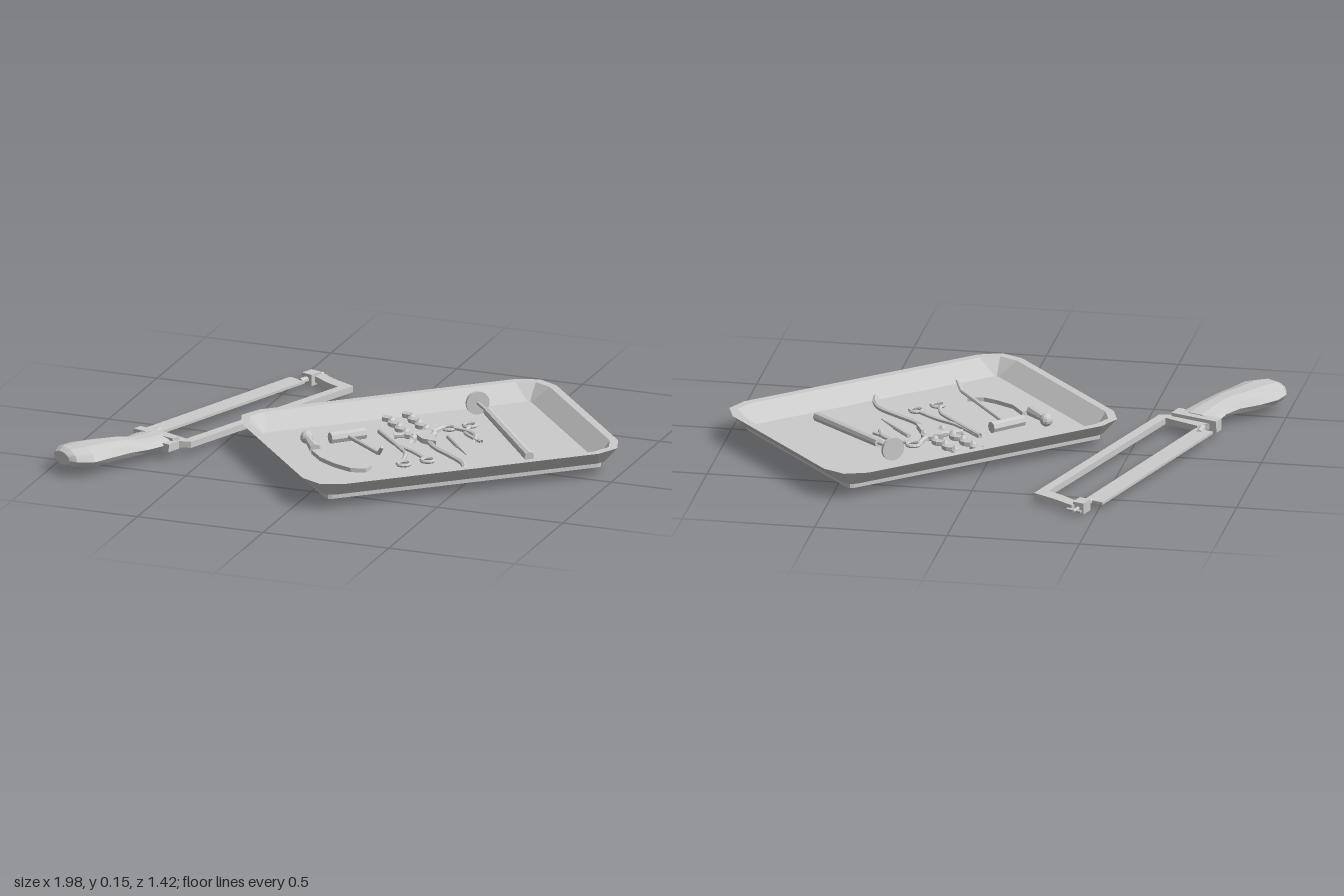
import * as THREE from 'three';

const mat = new THREE.MeshStandardMaterial({ color: 0xcccccc, flatShading: true, side: THREE.DoubleSide });
const V = (x, y, z) => new THREE.Vector3(x, y, z);

function add(parent, name, geo) {
  const m = new THREE.Mesh(geo, mat);
  m.name = name;
  parent.add(m);
  return m;
}

// Skin a list of equal-length rings and cap both ends
function loft(rings) {
  const n = rings[0].length, pos = [], idx = [];
  rings.forEach(r => r.forEach(p => pos.push(p.x, p.y, p.z)));
  for (let i = 0; i < rings.length - 1; i++)
    for (let j = 0; j < n; j++) {
      const a = i * n + j, b = i * n + (j + 1) % n;
      idx.push(a, a + n, b, b, a + n, b + n);
    }
  [rings[0], rings[rings.length - 1]].forEach((r, k) => {
    const c = r.reduce((s, p) => s.add(p), V(0, 0, 0)).divideScalar(n);
    const ci = pos.length / 3, o = k ? (rings.length - 1) * n : 0;
    pos.push(c.x, c.y, c.z);
    for (let j = 0; j < n; j++) {
      const p = o + j, q = o + (j + 1) % n;
      if (k) idx.push(ci, q, p); else idx.push(ci, p, q);
    }
  });
  const g = new THREE.BufferGeometry();
  g.setAttribute('position', new THREE.Float32BufferAttribute(pos, 3));
  g.setIndex(idx);
  g.computeVertexNormals();
  return g;
}

// Flat plate from a plan outline of [x, z] points
function plate(points, y, h) {
  const s = new THREE.Shape(points.map(([x, z]) => new THREE.Vector2(x, -z)));
  return new THREE.ExtrudeGeometry(s, { depth: h, bevelEnabled: false }).rotateX(-Math.PI / 2).translate(0, y, 0);
}

// Straight tapered rod between two [x, y, z] points
function rod(a, b, r1, r2 = r1, sides = 8) {
  const p = V(...a), q = V(...b), d = q.clone().sub(p);
  const g = new THREE.CylinderGeometry(r2, r1, d.length(), sides);
  g.applyQuaternion(new THREE.Quaternion().setFromUnitVectors(V(0, 1, 0), d.normalize()));
  const c = p.add(q).multiplyScalar(0.5);
  return g.translate(c.x, c.y, c.z);
}

// Bent bar through [x, z] points at one height
function bar(points, y, r, seg = 20) {
  const curve = new THREE.CatmullRomCurve3(points.map(([x, z]) => V(x, y, z)));
  return new THREE.TubeGeometry(curve, seg, r, 6);
}

// Rectangle ring with two-segment rounded corners
function rectRing(hx, hz, r, y) {
  const out = [];
  for (let q = 0; q < 4; q++) {
    const sx = q === 0 || q === 3 ? 1 : -1, sz = q < 2 ? 1 : -1;
    for (let k = 0; k < 3; k++) {
      const a = (q + k / 2) * Math.PI / 2;
      out.push(V(sx * (hx - r) + r * Math.cos(a), y, sz * (hz - r) + r * Math.sin(a)));
    }
  }
  return out;
}

function makeTray() {
  const g = new THREE.Group();
  g.name = 'tray';
  add(g, 'trayShell', loft([
    rectRing(0.545, 0.385, 0.02, 0.032),
    rectRing(0.545, 0.385, 0.02, 0.052),
    rectRing(0.56, 0.398, 0.04, 0.052),
    rectRing(0.624, 0.454, 0.12, 0.11),
    rectRing(0.594, 0.424, 0.1, 0.11),
    rectRing(0.53, 0.36, 0.01, 0.05),
  ]));
  g.rotation.y = 0.718;
  g.position.x = 0.277;
  return g;
}

function makeSaw() {
  const g = new THREE.Group();
  g.name = 'boneSaw';
  const frame = new THREE.Group();
  frame.name = 'sawFrame';
  frame.position.y = 0.04;
  frame.rotation.x = -0.025;
  g.add(frame);
  add(frame, 'frameBow', plate([[-0.56, 0.29], [-0.25, -0.58], [-0.33, -0.625], [-0.41, -0.68], [-0.44, -0.65],
    [-0.36, -0.585], [-0.30, -0.55], [-0.59, 0.26], [-0.72, 0.2], [-0.745, 0.225], [-0.78, 0.235],
    [-0.795, 0.29], [-0.63, 0.33], [-0.61, 0.3]], -0.012, 0.024));
  add(frame, 'blade', plate([[-0.785, 0.17], [-0.715, 0.195], [-0.445, -0.59], [-0.515, -0.615]], -0.005, 0.01));
  add(frame, 'frontPin', rod([-0.465, 0, -0.59], [-0.44, 0, -0.66], 0.012));
  add(frame, 'rearPin', rod([-0.735, 0, 0.16], [-0.735, 0, 0.23], 0.012));
  const clamp = add(frame, 'clampBlock', new THREE.BoxGeometry(0.045, 0.044, 0.055));
  clamp.position.set(-0.443, 0, -0.65);
  clamp.rotation.y = -0.32;
  add(frame, 'clampScrew', rod([-0.44, 0, -0.66], [-0.422, 0, -0.715], 0.007));
  add(frame, 'screwWing', rod([-0.452, 0, -0.71], [-0.395, 0, -0.69], 0.006));
  const collar = add(frame, 'collar', new THREE.BoxGeometry(0.19, 0.045, 0.04));
  collar.position.set(-0.705, 0.003, 0.27);
  collar.rotation.y = -0.33;
  const tang = add(frame, 'tang', new THREE.BoxGeometry(0.03, 0.03, 0.06));
  tang.position.set(-0.625, 0, 0.33);
  tang.rotation.y = -0.33;

  // Grip: x, z, half width, centre height, half height
  const path = [[-0.70, 0.28, 0.085, 0.052, 0.024], [-0.74, 0.385, 0.072, 0.055, 0.03], [-0.785, 0.45, 0.075, 0.06, 0.038],
    [-0.84, 0.515, 0.09, 0.06, 0.042], [-0.885, 0.58, 0.102, 0.062, 0.042], [-0.925, 0.625, 0.08, 0.064, 0.037],
    [-0.938, 0.645, 0.05, 0.064, 0.025]];
  add(g, 'grip', loft(path.map(([x, z, w, y, h], i) => {
    const p = path[Math.max(i - 1, 0)], q = path[Math.min(i + 1, path.length - 1)];
    const d = new THREE.Vector2(q[0] - p[0], q[1] - p[1]).normalize();
    return Array.from({ length: 10 }, (_, k) => {
      const a = k / 10 * Math.PI * 2, c = Math.cos(a) * w;
      return V(x - d.y * c, y + Math.sin(a) * h, z + d.x * c);
    });
  })));
  return g;
}

// Two crossing arms, each ending in a finger ring
function makeScissors(name, arms) {
  const g = new THREE.Group();
  g.name = name;
  arms.forEach(([ring, ...pts], i) => {
    add(g, 'fingerRing', new THREE.TorusGeometry(0.024, 0.007, 6, 14).rotateX(Math.PI / 2).translate(ring[0], 0.06, ring[1]));
    add(g, 'arm', bar(pts, 0.058 + i * 0.006, 0.008, 12));
  });
  return g;
}

function makeInstruments() {
  const g = new THREE.Group();
  g.name = 'instruments';

  // Disc-headed hammer
  add(g, 'hammerDisc', rod([0.316, 0.105, -0.39], [0.324, 0.105, -0.38], 0.045, 0.045, 20));
  add(g, 'hammerNeck', rod([0.32, 0.105, -0.385], [0.39, 0.1, -0.315], 0.007));
  add(g, 'hammerHandle', rod([0.385, 0.1, -0.32], [0.68, 0.066, 0.015], 0.017, 0.019));

  // T-shaped mallet with an upturned shaft
  add(g, 'malletHead', rod([-0.08, 0.072, 0.1], [0.02, 0.072, 0.0], 0.022));
  add(g, 'malletShaft', rod([-0.025, 0.072, 0.055], [0.185, 0.105, 0.285], 0.008));
  add(g, 'malletTip', rod([0.185, 0.105, 0.285], [0.207, 0.138, 0.307], 0.008, 0.006));

  // Curved knife
  add(g, 'knifePommel', new THREE.SphereGeometry(0.025, 10, 8).translate(-0.165, 0.072, 0.12));
  add(g, 'knifeHandle', rod([-0.155, 0.07, 0.135], [-0.09, 0.065, 0.225], 0.014, 0.022));
  add(g, 'knifeBlade', plate([[-0.1, 0.24], [-0.04, 0.305], [0.03, 0.35], [0.11, 0.38], [0.165, 0.365], [0.17, 0.32],
    [0.11, 0.33], [0.06, 0.31], [-0.01, 0.27], [-0.06, 0.2]], 0.052, 0.016));

  g.add(makeScissors('largeScissors', [
    [[0.335, 0.17], [0.315, 0.15], [0.24, 0.09], [0.17, 0.05], [0.05, -0.07]],
    [[0.267, 0.24], [0.255, 0.215], [0.235, 0.14], [0.19, 0.085], [0.05, -0.07]],
  ]));
  g.add(makeScissors('smallScissors', [
    [[0.337, -0.26], [0.345, -0.235], [0.35, -0.18], [0.39, -0.14], [0.445, -0.1]],
    [[0.278, -0.2], [0.3, -0.195], [0.36, -0.18], [0.4, -0.15], [0.425, -0.085]],
  ]));
  add(g, 'scalpelHandle', rod([0.31, 0.058, -0.11], [0.38, 0.058, -0.025], 0.009));
  add(g, 'scalpelBlade', rod([0.38, 0.058, -0.025], [0.445, 0.058, 0.055], 0.007, 0.002));

  // Bone forceps: wavy grips, hooked jaws and a long curved tail
  for (const [x, z] of [[0.02, -0.22], [0.075, -0.285]]) {
    const wave = [];
    for (let i = 0; i <= 8; i++) {
      const t = i / 8, w = (i % 2 ? 1 : -1) * 0.007;
      wave.push([x + t * 0.19 + w, z + t * 0.2 - w]);
    }
    add(g, 'forcepsGrip', bar(wave, 0.062, 0.014, 32));
  }
  add(g, 'forcepsHook', bar([[0.12, -0.04], [0.17, -0.065], [0.215, -0.09], [0.245, -0.14], [0.255, -0.19]], 0.062, 0.011));
  add(g, 'forcepsJoint', plate([[0.18, -0.11], [0.25, -0.12], [0.3, -0.01], [0.24, -0.02], [0.2, -0.06]], 0.052, 0.02));
  add(g, 'forcepsTail', bar([[0.24, -0.06], [0.31, 0.03], [0.4, 0.1], [0.47, 0.16], [0.5, 0.22], [0.51, 0.28]], 0.061, 0.01));
  return g;
}

export function createModel() {
  const model = new THREE.Group();
  model.name = 'surgicalSet';
  model.add(makeTray(), makeSaw(), makeInstruments());
  return model;
}
